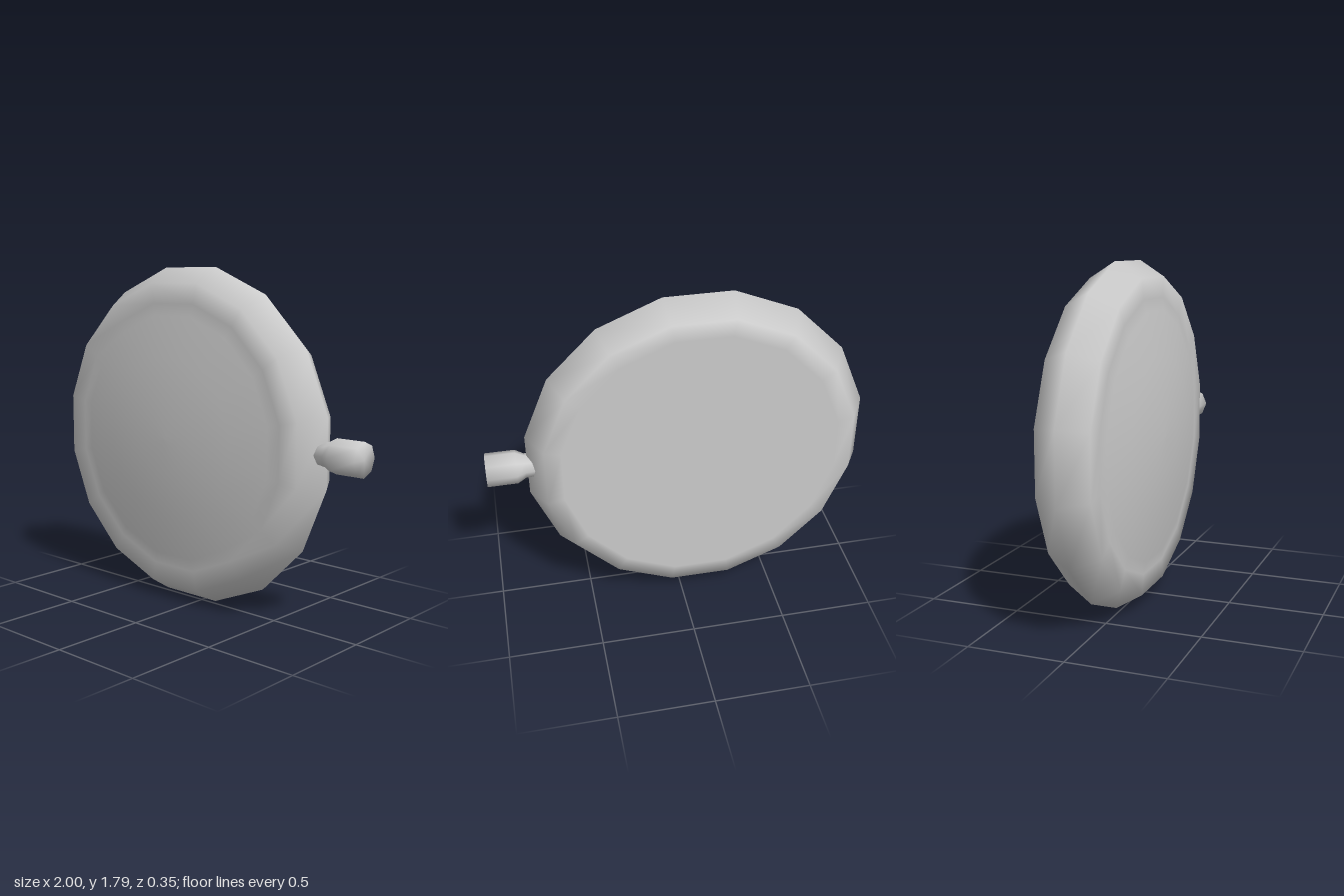
import * as THREE from 'three';

const SIDES = 16;
const CX = -0.106, CY = 0.896, CZ = -0.03; // centre of the round body

// Turns a [radius, height] profile into a smooth low-poly solid of revolution
function lathe(name, profile, sides, start, material) {
  const points = profile.map(([r, h]) => new THREE.Vector2(r, h));
  const mesh = new THREE.Mesh(new THREE.LatheGeometry(points, sides, start), material);
  mesh.name = name;
  return mesh;
}

export function createModel() {
  const group = new THREE.Group();
  group.name = 'pocketDisc';
  const grey = new THREE.MeshStandardMaterial({ color: 0xcccccc, side: THREE.DoubleSide });

  // Round body, facing +z: flat back, ridged rim and shallow domed front face
  const body = lathe('body', [
    [0, -0.142], [0.74, -0.144], [0.828, -0.14], [0.912, 0], [0.828, 0.136],
    [0.72, 0.137], [0.655, 0.147], [0.43, 0.183], [0.18, 0.205], [0, 0.207],
  ], SIDES, Math.PI / SIDES, grey);
  body.geometry.rotateX(Math.PI / 2);
  body.position.set(CX, CY, CZ);
  group.add(body);

  // Eight-sided crown on a narrower neck, pointing to +x
  const crown = lathe('crown', [
    [0, 0.7], [0.06, 0.72], [0.064, 0.8], [0.088, 0.845], [0.088, 1], [0, 1],
  ], 8, 0, grey);
  crown.geometry.rotateZ(-Math.PI / 2);
  crown.position.set(0, CY, CZ);
  group.add(crown);

  return group;
}
